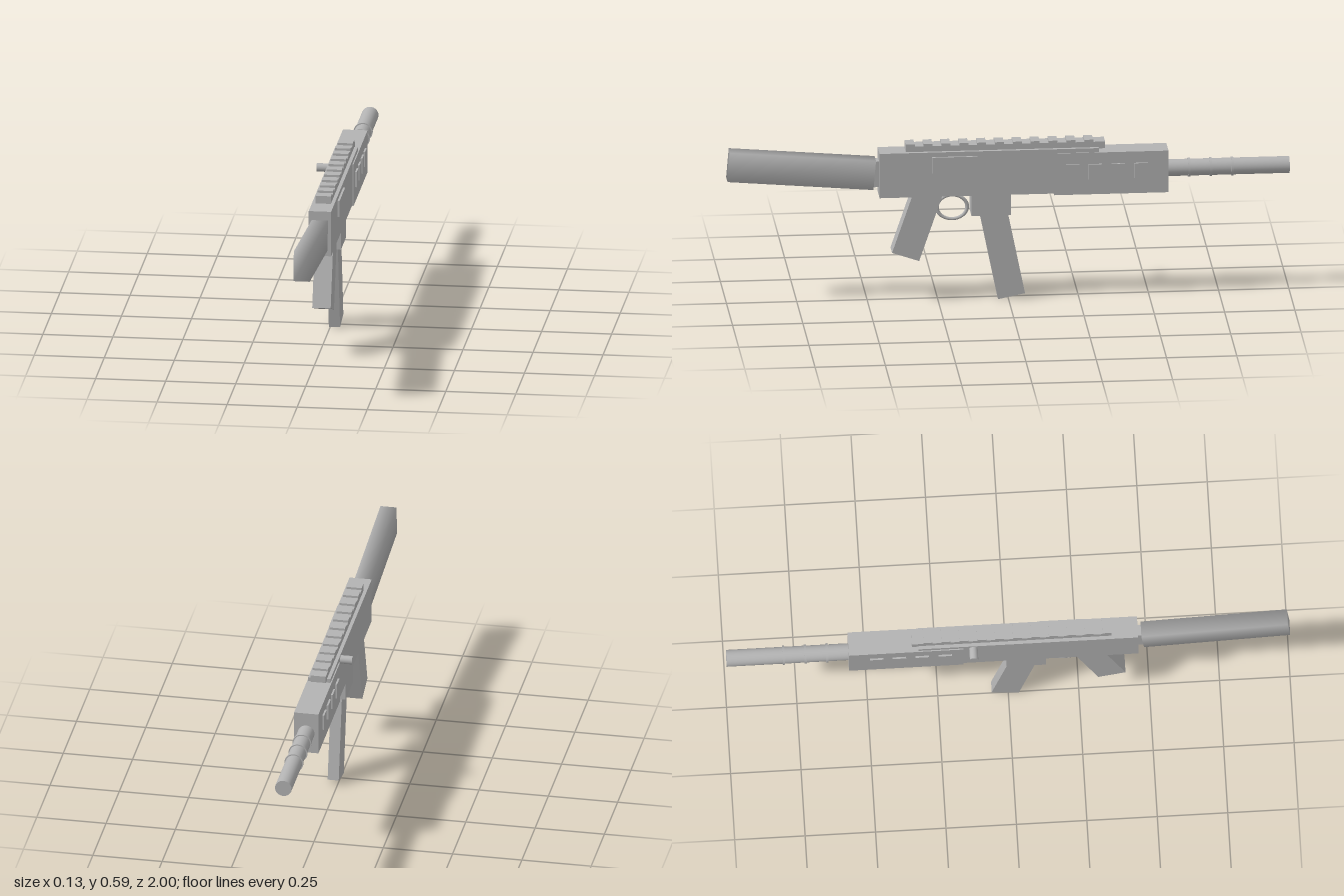
import * as THREE from 'three';
import { mergeVertices } from 'three/addons/utils/BufferGeometryUtils.js';

export function createModel() {
  const model = new THREE.Group();
  const grey = new THREE.MeshStandardMaterial({ color: 0xb2b2b2 });
  grey.name = 'grey';
  const CX = 0.015; // centre line of the body

  function add(name, geometry, x, y, z, parent = model) {
    const mesh = new THREE.Mesh(geometry, grey);
    mesh.name = name;
    mesh.position.set(x, y, z);
    parent.add(mesh);
    return mesh;
  }
  // Box given by half width and its y and z ranges
  const block = (name, half, y0, y1, z0, z1) =>
    add(name, new THREE.BoxGeometry(half * 2, y1 - y0, z1 - z0), CX, (y0 + y1) / 2, (z0 + z1) / 2);
  // Tilted box hanging down, placed by the centre of its bottom face
  function leaning(name, half, depth, length, y, z, tilt) {
    const g = new THREE.BoxGeometry(half * 2, length, depth).translate(0, length / 2, 0);
    add(name, g, CX, y, z).rotation.x = tilt;
  }

  // Body
  block('receiver', 0.04, 0.395, 0.56, -0.32, 0.46);
  block('handguard', 0.044, 0.39, 0.545, -0.567, -0.16);
  block('magazineWell', 0.035, 0.318, 0.4, -0.008, 0.133);
  block('stockMount', 0.02, 0.43, 0.525, 0.455, 0.485);

  // Top rail with evenly spaced teeth
  block('rail', 0.0275, 0.555, 0.58, -0.343, 0.366);
  for (let i = 0; i < 11; i++) {
    const z = 0.35 - i * 0.0635;
    block('railTooth', 0.0275, 0.575, 0.588, z - 0.016, z + 0.016);
  }

  // Stock with softly blended normals
  let stockGeo = new THREE.BoxGeometry(0.058, 0.108, 0.521);
  stockGeo.deleteAttribute('normal');
  stockGeo.deleteAttribute('uv');
  stockGeo = mergeVertices(stockGeo);
  stockGeo.computeVertexNormals();
  add('stock', stockGeo, 0.016, 0.499, 0.736).rotation.x = -0.085;

  // Grip and magazine
  leaning('grip', 0.033, 0.102, 0.27, 0.171, 0.367, -0.33);
  leaning('magazine', 0.02, 0.098, 0.34, 0.01, -0.011, 0.2);

  // Trigger guard
  const guard = add('triggerGuard', new THREE.TorusGeometry(0.054, 0.007, 10, 32), CX, 0.343, 0.199);
  guard.rotation.y = Math.PI / 2;
  guard.scale.y = 0.82;

  // Barrel and its rings
  const tube = (name, r, length, z) =>
    add(name, new THREE.CylinderGeometry(r, r, length, 32).rotateX(Math.PI / 2), CX, 0.467, z);
  tube('barrel', 0.03, 0.44, -0.78);
  for (const z of [-0.643, -0.72, -0.797]) tube('barrelRing', 0.034, 0.008, z);

  // Side details
  add('boltHandle', new THREE.CylinderGeometry(0.015, 0.015, 0.05, 24).rotateZ(Math.PI / 2), -0.043, 0.54, -0.125);
  add('ejectionPort', new THREE.BoxGeometry(0.016, 0.06, 0.16), 0.0545, 0.513, 0.193);
  for (const side of [-1, 1]) {
    for (let i = 0; i < 4; i++) {
      add('handguardVent', new THREE.BoxGeometry(0.014, 0.056, 0.048), CX + side * 0.0435, 0.475, -0.226 - i * 0.081);
    }
  }
  return model;
}
